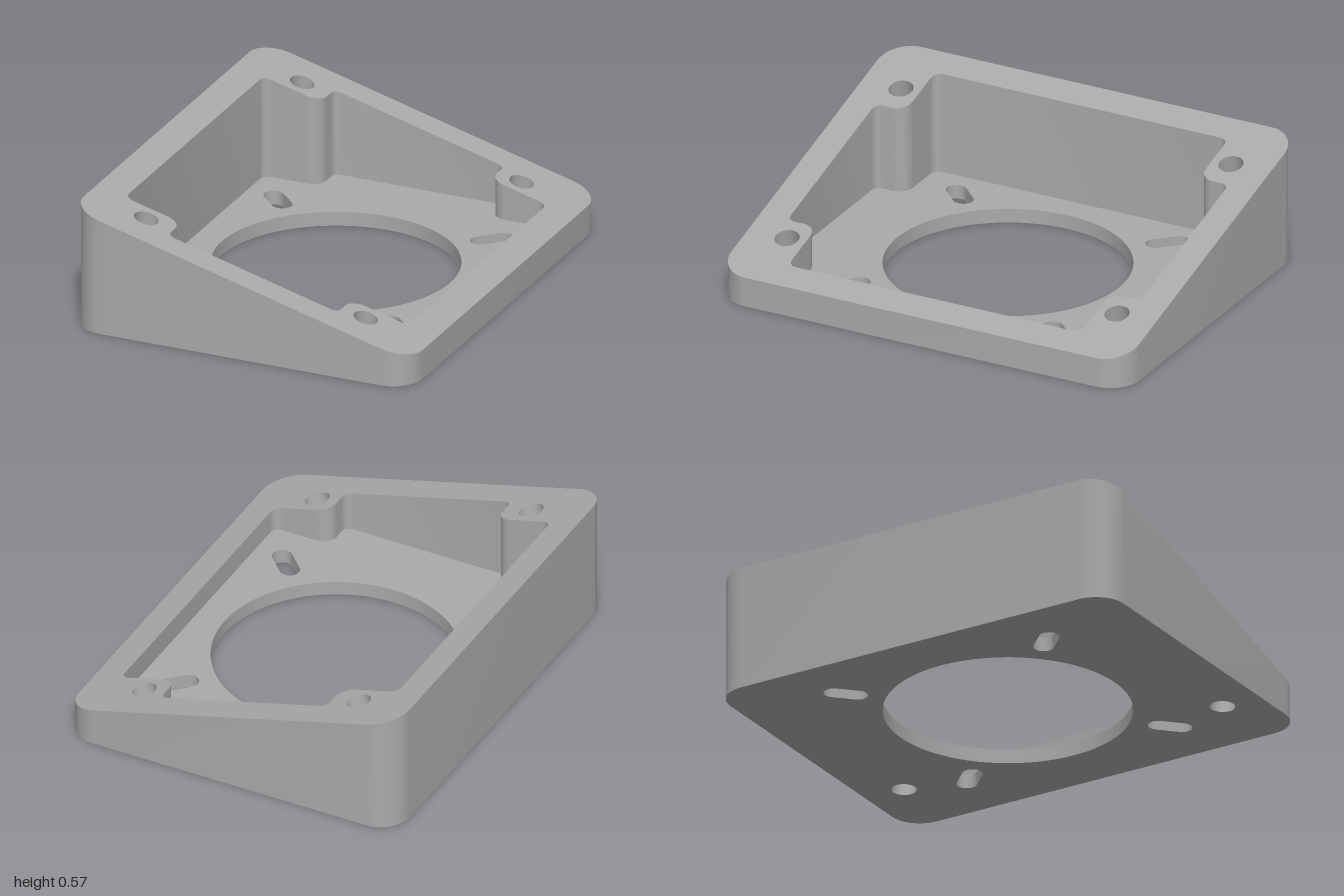
import * as THREE from 'three';
import { toCreasedNormals } from 'three/addons/utils/BufferGeometryUtils.js';

const TILT = 0.268;                    // tangent of the top face's 15 degree slope
const FLOOR = 0.065;                   // floor thickness
const slope = x => 0.353 - TILT * x;   // height of the top face

// Closed outline from right-angle corners [x, y, radius], each rounded by an arc
function rounded(corners, steps = 10) {
  const pts = [];
  corners.forEach(([x, y, r], i) => {
    const n = corners.length, p = new THREE.Vector2(x, y);
    const a = corners[(i + n - 1) % n], b = corners[(i + 1) % n];
    const d1 = new THREE.Vector2(a[0], a[1]).sub(p).normalize();
    const d2 = new THREE.Vector2(b[0], b[1]).sub(p).normalize();
    for (let k = 0; k <= steps; k++) {
      const t = k / steps * Math.PI / 2, u = r * (1 - Math.sin(t)), v = r * (1 - Math.cos(t));
      pts.push(new THREE.Vector2(x + d1.x * u + d2.x * v, y + d1.y * u + d2.y * v));
    }
  });
  return pts;
}

function ellipse(cx, cy, rx, ry, n) {
  return Array.from({ length: n }, (_, i) => {
    const t = i / n * Math.PI * 2;
    return new THREE.Vector2(cx + rx * Math.cos(t), cy + ry * Math.sin(t));
  });
}

// Slot pointing outward along the diagonal
function slot(sx, sy) {
  const pts = [], base = Math.atan2(sy, sx);
  for (const end of [1, -1]) {
    const c = 0.51 + end * 0.038;
    for (let k = 0; k <= 12; k++) {
      const t = base + (end > 0 ? 0 : Math.PI) - Math.PI / 2 + k / 12 * Math.PI;
      pts.push(new THREE.Vector2(sx * c + 0.045 * Math.cos(t), sy * c + 0.045 * Math.sin(t)));
    }
  }
  return pts;
}

// Flat face with holes, laid at height(x)
function face(outline, holes, height, down = false) {
  const shape = new THREE.Shape(outline);
  shape.holes = holes.map(h => new THREE.Path(h));
  const g = new THREE.ShapeGeometry(shape);
  const p = g.attributes.position;
  for (let i = 0; i < p.count; i++) {
    const x = p.getX(i), y = p.getY(i);
    p.setXYZ(i, x, height(x), -y);
  }
  if (down) g.index.array.reverse();
  g.computeVertexNormals();
  return g;
}

// Side wall between two matching loops of 3D points
function wall(low, high, inward) {
  const pos = [], index = [], n = low.length;
  low.forEach((p, i) => pos.push(...p, ...high[i]));
  for (let i = 0; i < n; i++) {
    const a = 2 * i, b = 2 * ((i + 1) % n);
    if (inward) index.push(a, b + 1, b, a, a + 1, b + 1);
    else index.push(a, b, b + 1, a, b + 1, a + 1);
  }
  const g = new THREE.BufferGeometry();
  g.setAttribute('position', new THREE.Float32BufferAttribute(pos, 3));
  g.setIndex(index);
  return toCreasedNormals(g, 0.6);
}

const loop = (pts, height) => pts.map(p => [p.x, height(p.x), -p.y]);

export function createModel() {
  const group = new THREE.Group();
  const grey = new THREE.MeshStandardMaterial({ color: 0xaaaaaa });
  const add = (name, geometry) => {
    const mesh = new THREE.Mesh(geometry, grey);
    mesh.name = name;
    group.add(mesh);
  };
  const ground = () => 0, floor = () => FLOOR;

  // Outlines, all counter-clockwise
  const outer = rounded([[0.807, 1, 0.14], [-0.807, 1, 0.14], [-0.807, -1, 0.14], [0.807, -1, 0.14]]);
  const quarter = [[0.675, 0.72, 0.04], [0.405, 0.72, 0.065], [0.405, 0.867, 0.035]];
  const flip = (sx, sy) => quarter.map(([x, y, r]) => [x * sx, y * sy, r]);
  const pocket = rounded([
    ...flip(1, 1), ...flip(-1, 1).reverse(), ...flip(-1, -1), ...flip(1, -1).reverse(),
  ]);
  const opening = ellipse(0, 0, 0.543, 0.543, 96);
  const slots = [[1, 1], [-1, 1], [-1, -1], [1, -1]].map(([x, y]) => slot(x, y));

  // Screw holes run square to the sloped face; the tall side's stop at floor level
  const screws = [];
  for (const x of [0.513, -0.532]) for (const z of [0.81, -0.81]) {
    const top = ellipse(x, z, 0.053, 0.055, 32), end = x > 0 ? 0 : FLOOR;
    const bottom = top.map(p => new THREE.Vector2(p.x - TILT * (slope(p.x) - end), p.y));
    screws.push({ top, bottom, end });
  }
  const through = screws.filter(s => s.end === 0).map(s => s.bottom);

  // Flat faces
  add('slopedRim', face(outer, [pocket, ...screws.map(s => s.top)], slope));
  add('pocketFloor', face(pocket, [opening, ...slots], floor));
  add('underside', face(outer, [opening, ...slots, ...through], ground, true));

  // Walls
  add('outerWall', wall(loop(outer, ground), loop(outer, slope), false));
  add('pocketWall', wall(loop(pocket, floor), loop(pocket, slope), true));
  add('roundOpeningWall', wall(loop(opening, ground), loop(opening, floor), true));
  slots.forEach(s => add('slotWall', wall(loop(s, ground), loop(s, floor), true)));
  screws.forEach(({ top, bottom, end }) => {
    add('screwHoleWall', wall(loop(bottom, () => end), loop(top, slope), true));
    if (end > 0) add('screwHoleEnd', face(bottom, [], () => end));
  });
  return group;
}
